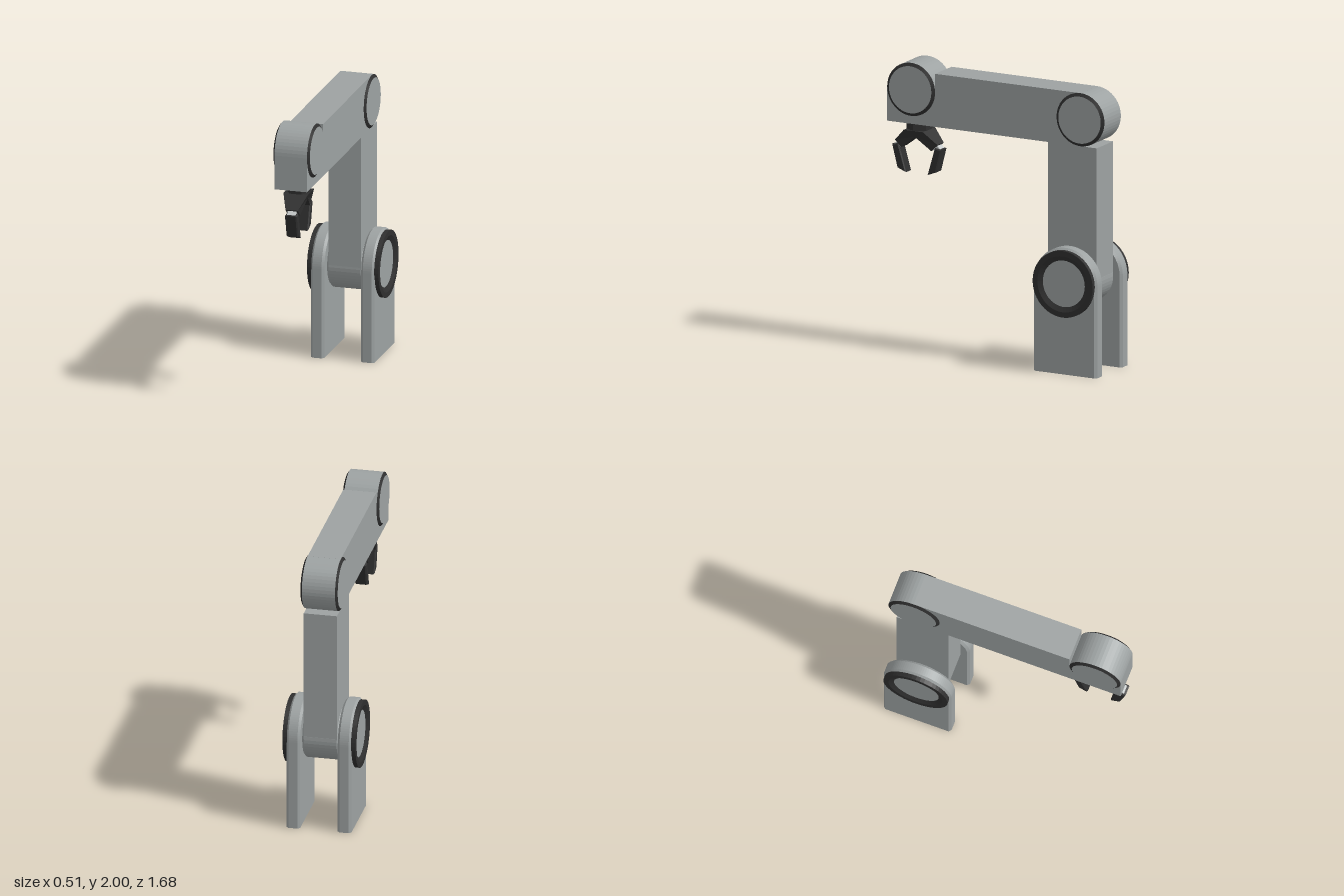
import * as THREE from 'three';

const mat = (name, color) => {
  const m = new THREE.MeshStandardMaterial({ color });
  m.name = name;
  return m;
};

export function createModel() {
  const model = new THREE.Group();
  model.name = 'robotArm';
  const grey = mat('metalGrey', 0x9da2a2);
  const dark = mat('darkRubber', 0x2f2f2f);
  const light = mat('lightSteel', 0xc8cccc);

  const add = (parent, name, geo, material, x = 0, y = 0, z = 0) => {
    const mesh = new THREE.Mesh(geo, material);
    mesh.name = name;
    mesh.position.set(x, y, z);
    parent.add(mesh);
    return mesh;
  };
  const group = (name, parent = model) => {
    const g = new THREE.Group();
    g.name = name;
    parent.add(g);
    return g;
  };
  const faceted = (geo) => {
    const g = geo.index ? geo.toNonIndexed() : geo;
    g.computeVertexNormals();
    return g;
  };
  // Turned solid about the x axis; points are [radius, x]
  const turned = (points) => faceted(new THREE.LatheGeometry(
    points.map(([r, x]) => new THREE.Vector2(r, x)), 48).rotateZ(-Math.PI / 2));
  // Profile in the z-y plane, extruded to a width centred on x = 0
  const slab = (shape, width, bevel = 0) => {
    const geo = new THREE.ExtrudeGeometry(shape, {
      depth: width - 2 * bevel, curveSegments: 24, bevelEnabled: bevel > 0,
      bevelSize: bevel, bevelThickness: bevel, bevelOffset: -bevel, bevelSegments: 1,
    });
    return geo.translate(0, 0, bevel - width / 2).rotateY(-Math.PI / 2);
  };
  const polygon = (pts) => new THREE.Shape(pts.map(([z, y]) => new THREE.Vector2(z, y)));
  // Box given by its y and z limits
  const block = (parent, name, width, y0, y1, z0, z1) => add(parent, name,
    new THREE.BoxGeometry(width, y1 - y0, z1 - z0), grey, 0, (y0 + y1) / 2, (z0 + z1) / 2);

  const baseY = 0.635, baseZ = -0.595;

  // Two upright base plates with round tops and outer bearing rings
  const plate = new THREE.Shape();
  plate.moveTo(-0.245, 0);
  plate.lineTo(0.245, 0);
  plate.lineTo(0.245, baseY);
  plate.absarc(0, baseY, 0.245, 0, Math.PI, false);
  plate.closePath();
  for (const side of [1, -1]) {
    const g = group(side > 0 ? 'leftBase' : 'rightBase');
    const geo = slab(plate, 0.095, 0.016);
    const p = geo.attributes.position;
    for (let i = 0; i < p.count; i++) if (p.getY(i) < 0.03) p.setY(i, 0); // square foot
    add(g, 'basePlate', faceted(geo), grey, side * 0.1775, 0, baseZ);
    const bearing = group('bearing', g);
    bearing.position.set(0, baseY, baseZ);
    bearing.rotation.y = side > 0 ? 0 : Math.PI;
    add(bearing, 'bearingRing',
      turned([[0.232, 0.22], [0.232, 0.253], [0.195, 0.253], [0.162, 0.236]]), dark);
    add(bearing, 'bearingCap', new THREE.CircleGeometry(0.162, 48).rotateY(Math.PI / 2), grey, 0.236);
  }

  // Lower arm with its round foot between the plates
  const lower = group('lowerArm');
  block(lower, 'lowerBeam', 0.23, baseY, 1.575, -0.782, -0.407);
  add(lower, 'shoulderDrum', turned([[0, -0.128], [0.175, -0.128], [0.189, -0.113],
    [0.189, 0.113], [0.175, 0.128], [0, 0.128]]), grey, 0, baseY, baseZ);

  // Upper arm and wrist block
  const upper = group('upperArm');
  block(upper, 'upperBeam', 0.23, 1.575, 1.945, -0.66, 0.466);
  block(upper, 'wristBlock', 0.23, 1.575, 1.815, 0.466, 0.837);

  // Elbow and wrist drums with dark chamfered rims
  for (const [name, y, z] of [['elbow', 1.76, -0.657], ['wrist', 1.815, 0.652]]) {
    const g = group(name);
    g.position.set(0, y, z);
    add(g, name + 'Drum', turned([[0.185, -0.115], [0.185, 0.115]]), grey);
    for (const side of [1, -1]) {
      const end = group(name + 'End', g);
      end.rotation.y = side > 0 ? 0 : Math.PI;
      add(end, name + 'Rim', turned([[0.185, 0.115], [0.164, 0.129]]), dark);
      add(end, name + 'Cap', new THREE.CircleGeometry(0.164, 48).rotateY(Math.PI / 2), grey, 0.129);
    }
  }

  // Gripper: hexagonal mount, two tapering arms and two fingers
  const gripper = group('gripper');
  gripper.position.z = 0.652;
  add(gripper, 'gripperMount',
    faceted(new THREE.CylinderGeometry(0.087, 0.087, 0.06, 6).rotateY(Math.PI / 2)), dark, 0, 1.547, 0);
  for (const side of [1, -1]) {
    const claw = group(side > 0 ? 'frontClaw' : 'backClaw', gripper);
    claw.rotation.y = side > 0 ? 0 : Math.PI;
    const arm = slab(polygon([[0, 1.473], [0.115, 1.383], [0.164, 1.43], [0.074, 1.518], [0, 1.518]]), 2);
    const p = arm.attributes.position;
    for (let i = 0; i < p.count; i++) {
      const t = THREE.MathUtils.clamp((p.getY(i) - 1.43) / 0.088, 0, 1);
      p.setX(i, p.getX(i) * (0.044 + 0.042 * t));
    }
    add(claw, 'clawArm', faceted(arm), dark);
    const joint = add(claw, 'fingerJoint', new THREE.BoxGeometry(0.06, 0.044, 0.05), light, 0, 1.4, 0.144);
    joint.rotation.x = Math.PI / 4;
    add(claw, 'finger', slab(polygon([[0.083, 1.21], [0.15, 1.236], [0.191, 1.396], [0.14, 1.406]]),
      0.084, 0.008), dark);
  }
  return model;
}
